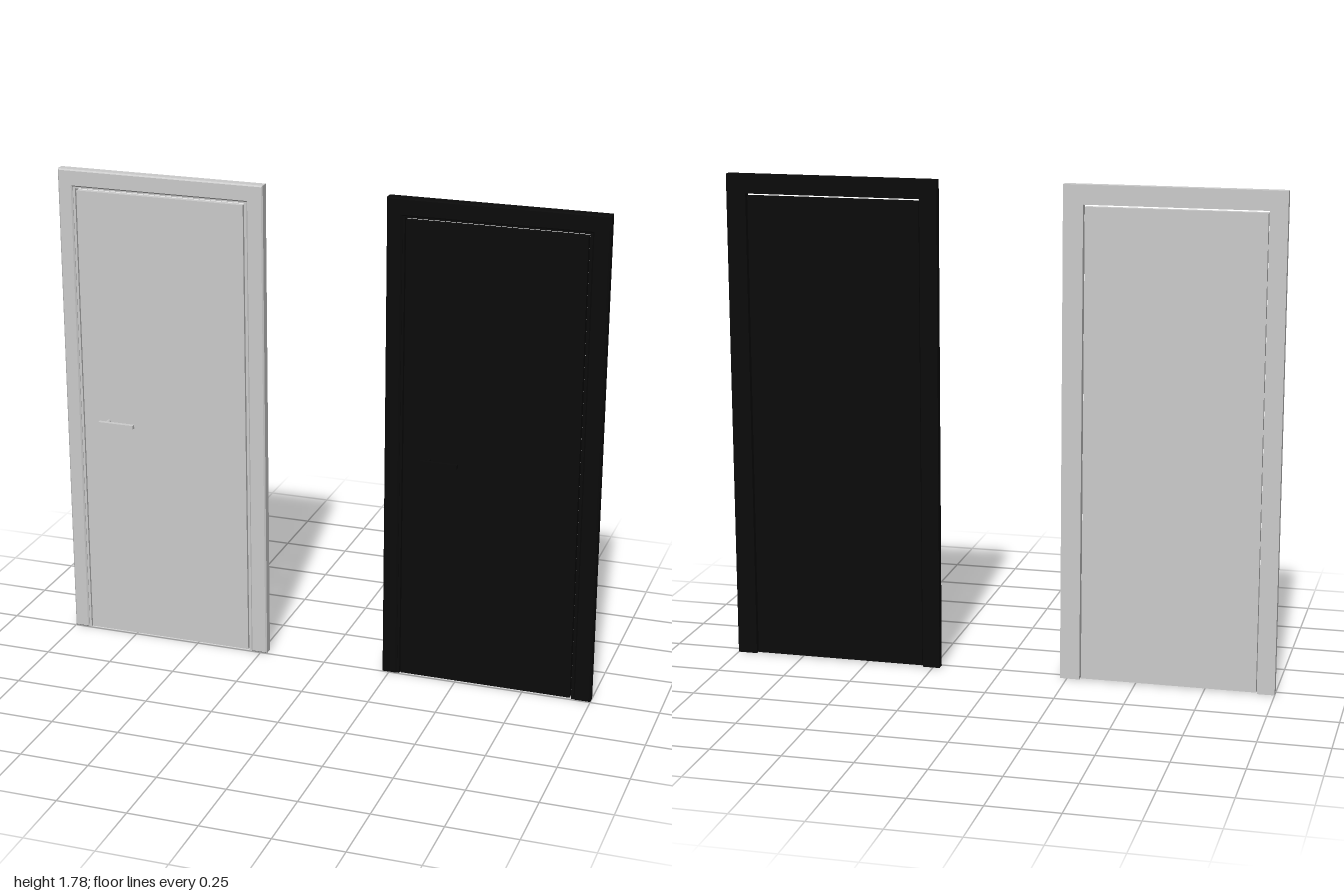
import * as THREE from 'three';

const HEIGHT = 1.785;

function makeMesh(name, geometry, material) {
  const mesh = new THREE.Mesh(geometry, material);
  mesh.name = name;
  return mesh;
}

function box(name, x0, x1, y0, y1, z0, z1, material) {
  const mesh = makeMesh(name, new THREE.BoxGeometry(x1 - x0, y1 - y0, z1 - z0), material);
  mesh.position.set((x0 + x1) / 2, (y0 + y1) / 2, (z0 + z1) / 2);
  return mesh;
}

// Upside-down U, open at the floor: outer edge 0..w, inner edge a..b, lintel underside at t
function archGeometry(w, a, b, t, z0, z1, bevel) {
  const e = bevel;
  const shape = new THREE.Shape([
    [e, e], [a - e, e], [a - e, t + e], [b + e, t + e],
    [b + e, e], [w - e, e], [w - e, HEIGHT - e], [e, HEIGHT - e],
  ].map(([x, y]) => new THREE.Vector2(x, y)));
  const geometry = new THREE.ExtrudeGeometry(shape, {
    depth: z1 - z0 - 2 * e,
    bevelEnabled: e > 0,
    bevelThickness: e,
    bevelSize: e,
    bevelSegments: 1,
  });
  geometry.translate(0, 0, z0 + e);
  return geometry;
}

function createDoor(name, color) {
  const door = new THREE.Group();
  door.name = name;
  const material = new THREE.MeshStandardMaterial({ color });
  const width = 0.775;

  // Frame: deep jamb with a bevelled casing on the front
  door.add(makeMesh('doorJamb',
    archGeometry(width, 0.063, 0.704, 1.716, -0.035, -0.006, 0), material));
  door.add(makeMesh('doorCasing',
    archGeometry(width, 0.055, 0.714, 1.722, -0.011, 0.001, 0.005), material));

  // Leaf, set back on both faces with a narrow gap around it
  door.add(box('doorLeaf', 0.067, 0.699, 0.003, 1.708, -0.029, -0.007, material));

  // Lever handle
  const handle = new THREE.Group();
  handle.name = 'leverHandle';
  const stemGeometry = new THREE.CylinderGeometry(0.006, 0.006, 0.032, 20);
  stemGeometry.rotateX(Math.PI / 2);
  const stem = makeMesh('handleStem', stemGeometry, material);
  stem.position.set(0.164, 0.847, 0.008);
  handle.add(stem, box('handleLever', 0.139, 0.275, 0.84, 0.854, 0.019, 0.035, material));
  door.add(handle);
  return door;
}

export function createModel() {
  const model = new THREE.Group();
  model.name = 'doorPair';
  const greyDoor = createDoor('greyDoor', 0xcccccc);
  greyDoor.position.x = -1;
  const blackDoor = createDoor('blackDoor', 0x0a0a0a);
  blackDoor.position.x = 0.225;
  model.add(greyDoor, blackDoor);
  return model;
}
